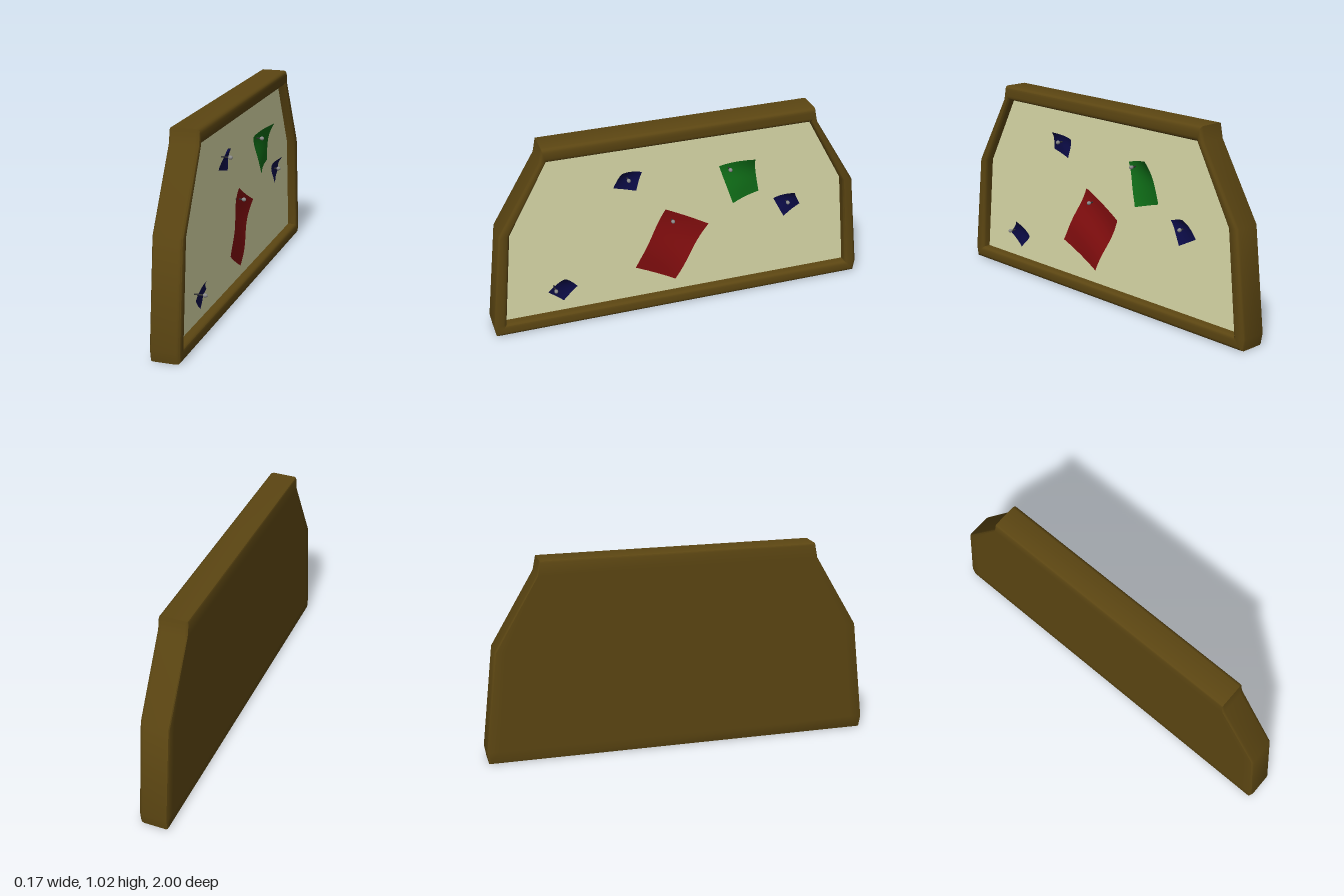
import * as THREE from 'three';
import { toCreasedNormals } from 'three/addons/utils/BufferGeometryUtils.js';

const BACK = -0.0875, FRONT = 0.06, BOARD = 0.012;

const paint = (color, side = THREE.FrontSide) =>
  new THREE.MeshStandardMaterial({ color, side });

// Half outlines (right side, bottom to top); both lists pair up for the mitres
const mirror = half => [...half, ...half.map(([s, y]) => [-s, y]).reverse()];
const outer = mirror([[0.99, 0], [1, 0.06], [0.94, 0.58], [0.72, 0.95], [0.705, 1.025]]);
const inner = mirror([[0.935, 0.065], [0.935, 0.065], [0.885, 0.58], [0.685, 0.95], [0.685, 0.95]]);

// Rounded frame: a profile (0 = outer edge, 1 = inner edge; depth) swept round the outline
function frameGeometry() {
  const profile = [
    [1, BACK], [0.15, BACK], [0.04, BACK + 0.004], [0, BACK + 0.012],
    [0, FRONT - 0.02], [0.04, FRONT - 0.01], [0.14, FRONT - 0.003], [0.3, FRONT],
    [0.7, FRONT], [0.86, FRONT - 0.003], [0.96, FRONT - 0.01], [1, FRONT - 0.02], [1, 0],
  ];
  const n = outer.length, positions = [], index = [];
  for (const [t, depth] of profile) {
    for (let i = 0; i < n; i++) {
      positions.push(
        THREE.MathUtils.lerp(outer[i][0], inner[i][0], t),
        THREE.MathUtils.lerp(outer[i][1], inner[i][1], t),
        depth);
    }
  }
  for (let j = 0; j < profile.length - 1; j++) {
    for (let i = 0; i < n; i++) {
      const k = (i + 1) % n;
      const a = j * n + i, b = j * n + k, c = b + n, d = a + n;
      index.push(a, b, c, a, c, d);
    }
  }
  const geometry = new THREE.BufferGeometry();
  geometry.setAttribute('position', new THREE.Float32BufferAttribute(positions, 3));
  geometry.setIndex(index);
  return toCreasedNormals(geometry, 0.6);
}

// Flat slab filling the frame opening between two depths
function slabGeometry(from, to) {
  const points = inner.filter((p, i) => i === 0 || p[0] !== inner[i - 1][0] || p[1] !== inner[i - 1][1])
    .map(([s, y]) => new THREE.Vector2(s, y));
  const geometry = new THREE.ExtrudeGeometry(new THREE.Shape(points), { depth: to - from, bevelEnabled: false });
  return geometry.translate(0, 0, from);
}

// Curled sheet: corners run top left, top right, bottom right, bottom left as [s, y, lift]
function sheetGeometry([tl, tr, br, bl], wave) {
  const geometry = new THREE.PlaneGeometry(1, 1, 14, 14);
  const pos = geometry.attributes.position;
  for (let i = 0; i < pos.count; i++) {
    const u = pos.getX(i) + 0.5, v = pos.getY(i) + 0.5;
    const weights = [(1 - u) * v, u * v, u * (1 - v), (1 - u) * (1 - v)];
    let s = 0, y = 0, d = BOARD + 0.006;
    [tl, tr, br, bl].forEach((corner, k) => {
      s += corner[0] * weights[k];
      y += corner[1] * weights[k];
      d += corner[2] * weights[k] ** 1.7;
    });
    d += wave * (1 + Math.sin(v * Math.PI * 2 - 0.8 + u));
    pos.setXYZ(i, s, y, d);
  }
  geometry.computeVertexNormals();
  return geometry;
}

// Push pin: thin shaft with a rounded head
function createPin(s, y, depth) {
  const pin = new THREE.Group();
  pin.name = 'pin';
  const shaft = new THREE.Mesh(new THREE.CylinderGeometry(0.004, 0.004, depth, 10), paint(0x333333));
  shaft.name = 'pinShaft';
  shaft.rotation.x = Math.PI / 2;
  shaft.position.z = depth / 2;
  const head = new THREE.Mesh(new THREE.SphereGeometry(0.01, 16, 12), paint(0x888888));
  head.name = 'pinHead';
  head.scale.z = 1.2;
  head.position.z = depth;
  pin.add(shaft, head);
  pin.position.set(s, y, 0);
  return pin;
}

export function createModel() {
  const group = new THREE.Group();
  group.name = 'noticeBoard';
  const board = new THREE.Group();
  board.name = 'board';
  const add = (name, geometry, material) => {
    const mesh = new THREE.Mesh(geometry, material);
    mesh.name = name;
    board.add(mesh);
  };

  const wood = paint(0x5c4612);
  add('frame', frameGeometry(), wood);
  add('backing', slabGeometry(BACK, 0), wood);
  add('panel', slabGeometry(0, BOARD), paint(0xdcdcaa));

  // Pinned notes
  const notes = [
    { name: 'redNote', color: 0x8a0f10, wave: 0.008, pin: [-0.05, 0.505, 0.055],
      corners: [[-0.085, 0.575, 0.02], [0.145, 0.45, 0.015], [-0.03, 0.14, 0.003], [-0.25, 0.265, 0.03]] },
    { name: 'greenNote', color: 0x107018, wave: 0.003, pin: [0.255, 0.75, 0.055],
      corners: [[0.205, 0.765, 0.005], [0.375, 0.805, 0.064], [0.42, 0.59, 0.012], [0.275, 0.55, 0.03]] },
    { name: 'upperBlueNote', color: 0x0d0d4c, wave: 0.002, pin: [-0.28, 0.785, 0.06],
      corners: [[-0.315, 0.835, 0.052], [-0.205, 0.81, 0.018], [-0.235, 0.705, 0.01], [-0.35, 0.735, 0.005]] },
    { name: 'rightBlueNote', color: 0x0d0d4c, wave: 0.002, pin: [0.58, 0.5, 0.052],
      corners: [[0.505, 0.53, 0.015], [0.61, 0.56, 0.046], [0.66, 0.465, 0.003], [0.565, 0.415, 0.02]] },
    { name: 'lowerBlueNote', color: 0x0d0d4c, wave: 0.002, pin: [-0.675, 0.22, 0.067],
      corners: [[-0.625, 0.285, 0.05], [-0.555, 0.205, 0.01], [-0.63, 0.13, 0.005], [-0.71, 0.2, 0.015]] },
  ];
  for (const { name, color, wave, pin, corners } of notes) {
    add(name, sheetGeometry(corners, wave), paint(color, THREE.DoubleSide));
    board.add(createPin(...pin));
  }

  // Turn the board face towards +x
  board.rotation.y = Math.PI / 2;
  group.add(board);
  return group;
}
